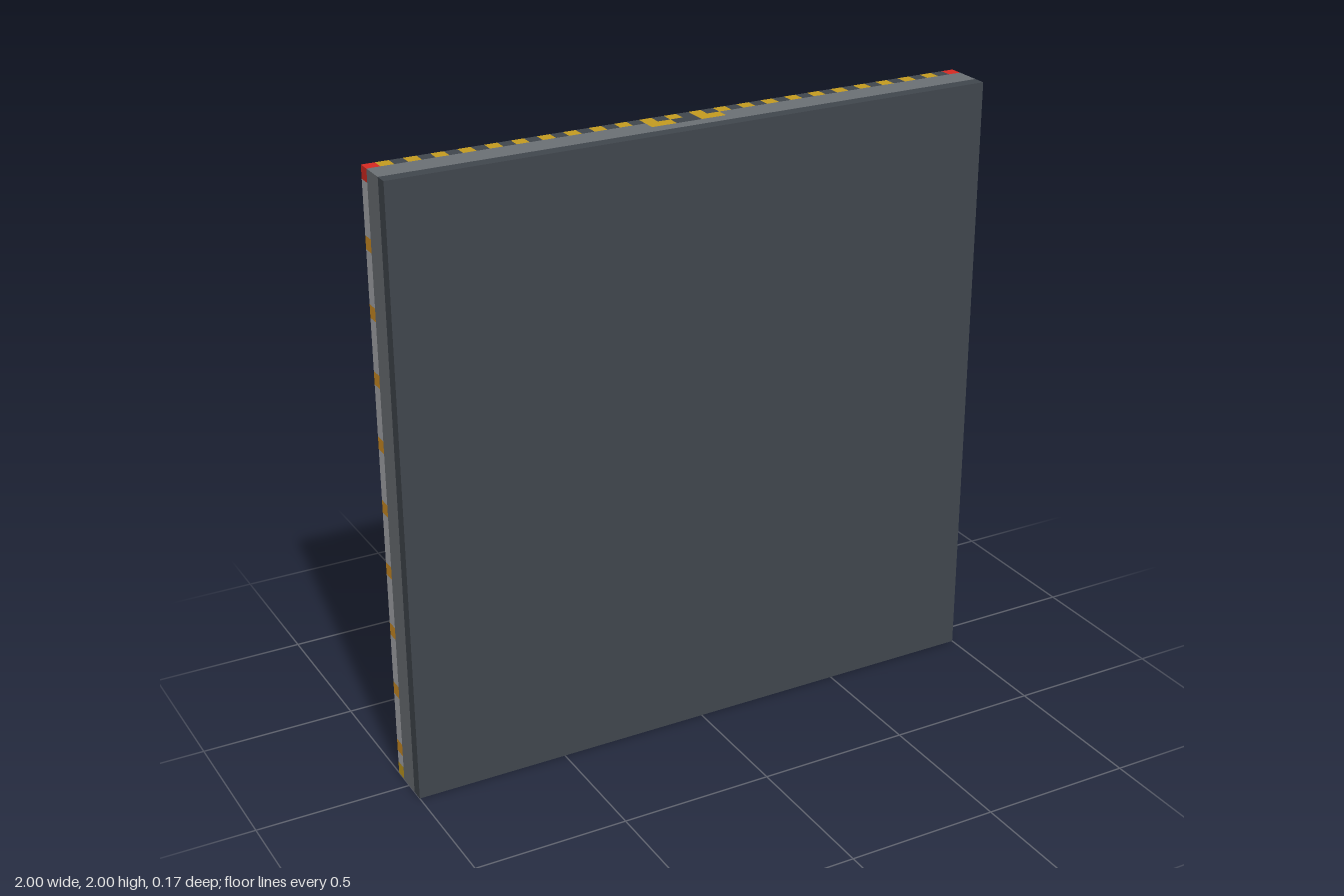
import * as THREE from 'three';
import { mergeGeometries } from 'three/addons/utils/BufferGeometryUtils.js';

const U = 2 / 48; // one block of the 48 x 48 x 4 layout
const N = 48;
const STRIPE = [21, 27]; // columns taken by the central hazard stripe

const mat = (name, color) => {
  const m = new THREE.MeshStandardMaterial({ color });
  m.name = name;
  return m;
};

// Box given by block ranges: columns i (x), rows j (y), layers k (z from the back)
function block(i0, i1, j0, j1, k0, k1) {
  return new THREE.BoxGeometry((i1 - i0) * U, (j1 - j0) * U, (k1 - k0) * U)
    .translate((i0 + i1) * U / 2 - 1, (j0 + j1) * U / 2, (k0 + k1) * U / 2 - 2 * U);
}

function seeded(seed) {
  return () => (seed = (seed * 16807) % 2147483647) / 2147483647;
}

// Worn stone tile: slightly chipped edges, rounded where a corner meets the grout
function tile(x0, x1, y0, y1, round, rand) {
  const corners = [[x0, y0], [x1, y0], [x1, y1], [x0, y1]];
  const pts = [];
  corners.forEach(([x, y], c) => {
    const [px, py] = corners[(c + 3) % 4];
    const [nx, ny] = corners[(c + 1) % 4];
    const lenP = Math.hypot(px - x, py - y), lenN = Math.hypot(nx - x, ny - y);
    const a = [(px - x) / lenP, (py - y) / lenP], b = [(nx - x) / lenN, (ny - y) / lenN];
    if (round[c]) {
      const r = 0.022 + rand() * 0.025;
      for (let s = 0; s <= 3; s++) {
        const t = s / 3 * Math.PI / 2;
        const p = r * (1 - Math.sin(t)), q = r * (1 - Math.cos(t));
        pts.push(new THREE.Vector2(x + a[0] * p + b[0] * q, y + a[1] * p + b[1] * q));
      }
    } else pts.push(new THREE.Vector2(x, y));
    // small chips along the edge to the next corner
    if (round[c] && round[(c + 1) % 4]) {
      for (const t of [0.35, 0.5, 0.65]) {
        const chip = rand() < 0.2 ? 0.015 : rand() * 0.004;
        pts.push(new THREE.Vector2(x + b[0] * lenN * t - b[1] * chip, y + b[1] * lenN * t + b[0] * chip));
      }
    }
  });
  return new THREE.ExtrudeGeometry(new THREE.Shape(pts), { depth: 0.004, bevelEnabled: false })
    .translate(0, 0, -U - 0.003);
}

export function createModel() {
  const group = new THREE.Group();
  const dark = mat('charcoal', 0x40464d);
  const gray = mat('concrete gray', 0x6b7074);
  const light = mat('light stone', 0xa9abaf);
  const yellow = mat('hazard yellow', 0xc39b20);
  const orange = mat('marker orange', 0xd08f24);
  const red = mat('corner red', 0xd62a22);

  const add = (name, geos, material) => {
    const mesh = new THREE.Mesh(mergeGeometries(geos.map(g => g.index ? g.toNonIndexed() : g)), material);
    mesh.name = name;
    group.add(mesh);
  };

  // Slab layers, with a channel at the back for the hazard stripe
  add('frontPlate', [block(0, N, 0, N, 3, 4)], dark);
  add('wallCore', [
    block(0, N, 0, N, 2, 3),
    block(0, STRIPE[0], 0, N, 1, 2),
    block(STRIPE[1], N, 0, N, 1, 2),
  ], gray);

  // Chevron stripe up the middle of the back
  const chevron = { yellow: [], dark: [] };
  for (let i = STRIPE[0]; i < STRIPE[1]; i++) {
    const d = i < 24 ? 23 - i : i - 24;
    for (let j = 0; j < N; j++) {
      chevron[(j + d) % 4 < 2 ? 'yellow' : 'dark'].push(block(i, i + 1, j, j + 1, 1, 2));
    }
  }
  add('chevronYellow', chevron.yellow, yellow);
  add('chevronDark', chevron.dark, dark);

  // Stone tiles, one every eight blocks, cut off by the rim and the stripe
  const rand = seeded(71);
  const tiles = [];
  const grow = 0.004;
  for (let c = 2; c < N; c += 8) {
    for (let r = 2; r < N; r += 8) {
      let i0 = c, i1 = Math.min(c + 7, 47);
      const j0 = r, j1 = Math.min(r + 7, 47);
      if (i0 < STRIPE[0] && i1 > STRIPE[0]) i1 = STRIPE[0];
      if (i0 < STRIPE[1] && i0 > STRIPE[0]) i0 = STRIPE[1];
      const L = i0 === c, R = i1 === c + 7, B = true, T = j1 === r + 7;
      tiles.push(tile(
        i0 * U - 1 - (L ? grow : 0), i1 * U - 1 + (R ? grow : 0),
        j0 * U - grow, j1 * U + (T ? grow : 0),
        [L && B, R && B, R && T, L && T], rand));
    }
  }
  add('stoneTiles', tiles, light);

  // Raised rim: striped rails at top and bottom
  const rail = { yellow: [], dark: [] };
  for (let i = 0; i < N; i++) {
    if (i > 0 && i < N - 1) rail[i % 2 ? 'yellow' : 'dark'].push(block(i, i + 1, N - 1, N, 0, 1));
    if (i < N - 1) rail[i % 2 ? 'dark' : 'yellow'].push(block(i, i + 1, 0, 1, 0, 1));
  }
  add('railYellow', rail.yellow, yellow);
  add('railDark', rail.dark, dark);

  // Side posts with evenly spaced orange markers
  const post = { light: [], orange: [], gray: [] };
  for (const i of [0, N - 1]) {
    for (let j = 1; j < N - 1; j++) {
      const worn = i > 0 && (j === 25 || j === 26);
      post[j % 5 === 2 ? 'orange' : worn ? 'gray' : 'light'].push(block(i, i + 1, j, j + 1, 0, 1));
    }
  }
  add('sidePosts', post.light, light);
  add('sideMarkers', post.orange, orange);
  add('wornPostPatch', post.gray, gray);

  // Red corner blocks
  add('cornerBlocks', [
    block(0, 1, N - 1, N, 0, 1),
    block(N - 1, N, N - 1, N, 0, 1),
    block(N - 1, N, 0, 1, 0, 1),
  ], red);

  // Two brackets near the upper corners
  add('brackets', [block(4, 8, 43, 45, 0, 1), block(40, 44, 43, 45, 0, 1)], gray);

  return group;
}
